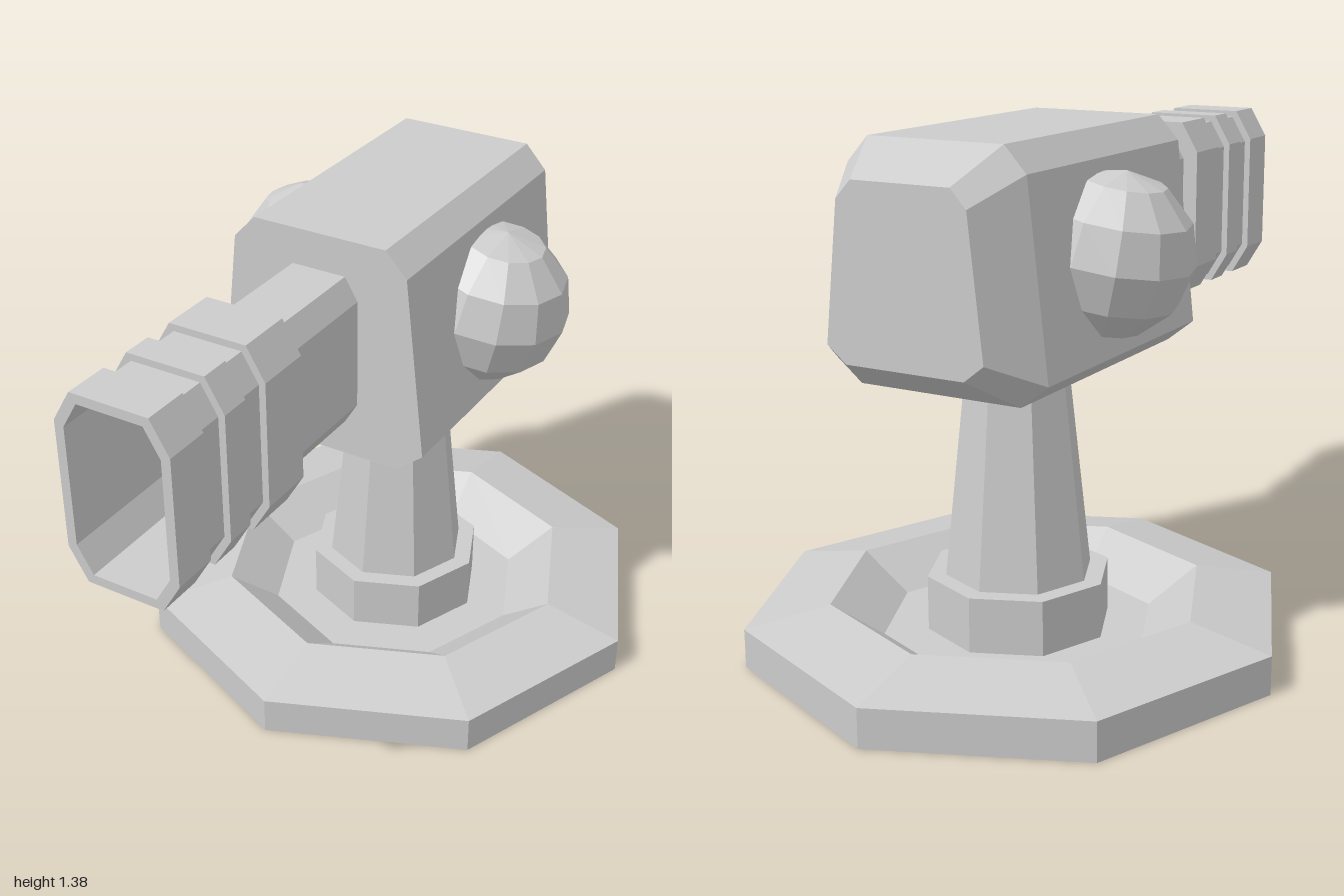
import * as THREE from 'three';

const PIVOT_Z = -0.265;
const material = new THREE.MeshStandardMaterial({ color: 0xcccccc, flatShading: true, side: THREE.DoubleSide });

// Skin a row of counter-clockwise [x, y, z] rings, closing both ends
function loft(rings) {
  const n = rings[0].length;
  const indices = [];
  for (let i = 0; i < rings.length - 1; i++) {
    for (let j = 0; j < n; j++) {
      const k = (j + 1) % n;
      const a = i * n + j, b = i * n + k, c = (i + 1) * n + k, d = (i + 1) * n + j;
      indices.push(a, b, c, a, c, d);
    }
  }
  const last = (rings.length - 1) * n;
  for (let j = 1; j < n - 1; j++) {
    indices.push(0, j + 1, j);
    indices.push(last, last + j, last + j + 1);
  }
  const geometry = new THREE.BufferGeometry();
  geometry.setAttribute('position', new THREE.Float32BufferAttribute(rings.flat(2), 3));
  geometry.setIndex(indices);
  const flat = geometry.toNonIndexed();
  flat.computeVertexNormals();
  return flat;
}

// Mirror a right-hand outline, listed bottom to top, into a full ring
function mirrored(half, z) {
  const right = half.map(([x, y]) => [x, y, z]);
  const left = half.map(([x, y]) => [-x, y, z]).reverse();
  return [...right, ...left];
}

// Tall chamfered section of the barrel
function barrelRing(hx, z) {
  const hy = hx + 0.097, cx = hx * 0.32, cy = hx * 0.54, y = 1.077;
  return mirrored([[hx - cx, y - hy], [hx, y - hy + cy], [hx, y + hy - cy], [hx - cx, y + hy]], z);
}

function add(group, name, geometry) {
  const mesh = new THREE.Mesh(geometry, material);
  mesh.name = name;
  group.add(mesh);
  return mesh;
}

function lathe(points) {
  return new THREE.LatheGeometry(points.map(([r, y]) => new THREE.Vector2(r, y)), 8);
}

export function createModel() {
  const model = new THREE.Group();
  model.name = 'turret';

  // Hollow dished base, open underneath
  add(model, 'base', lathe([
    [0.735, 0], [0.735, 0.105], [0.51, 0.15], [0.37, 0.05], [0.25, 0.05],
  ])).position.z = PIVOT_Z;

  // Collar and tapering post
  add(model, 'collar', lathe([[0.25, 0.05], [0.25, 0.2], [0.2, 0.2]])).position.z = PIVOT_Z;
  add(model, 'post', lathe([[0.2, 0.2], [0.135, 0.8]])).position.z = PIVOT_Z;

  // Head with a tapered back
  const outline = [[0.23, 0.77], [0.305, 0.83], [0.25, 1.32], [0.19, 1.385]];
  const back = outline.map(([x, y]) => [x * 0.72, 1.083 + (y - 1.083) * 0.72]);
  add(model, 'head', loft([mirrored(back, -0.775), mirrored(outline, -0.63), mirrored(outline, 0.16)]));

  // Side domes
  for (const side of [1, -1]) {
    const dome = add(model, side > 0 ? 'leftDome' : 'rightDome', new THREE.SphereGeometry(0.213, 12, 6));
    dome.position.set(side * 0.278, 1.083, PIVOT_Z);
    dome.rotation.z = -side * 0.18;
  }

  // Barrel neck, grooved muzzle and stepped bore
  const barrel = [
    [0.112, 0.1], [0.112, 0.49], [0.155, 0.49], [0.155, 0.64], [0.137, 0.64], [0.137, 0.72],
    [0.155, 0.72], [0.155, 0.8], [0.137, 0.8], [0.137, 0.88], [0.155, 0.88], [0.155, 1],
    [0.13, 1], [0.13, 0.55], [0.087, 0.55], [0.063, 0.3],
  ];
  add(model, 'barrel', loft(barrel.map(([hx, z]) => barrelRing(hx, z))));

  return model;
}
